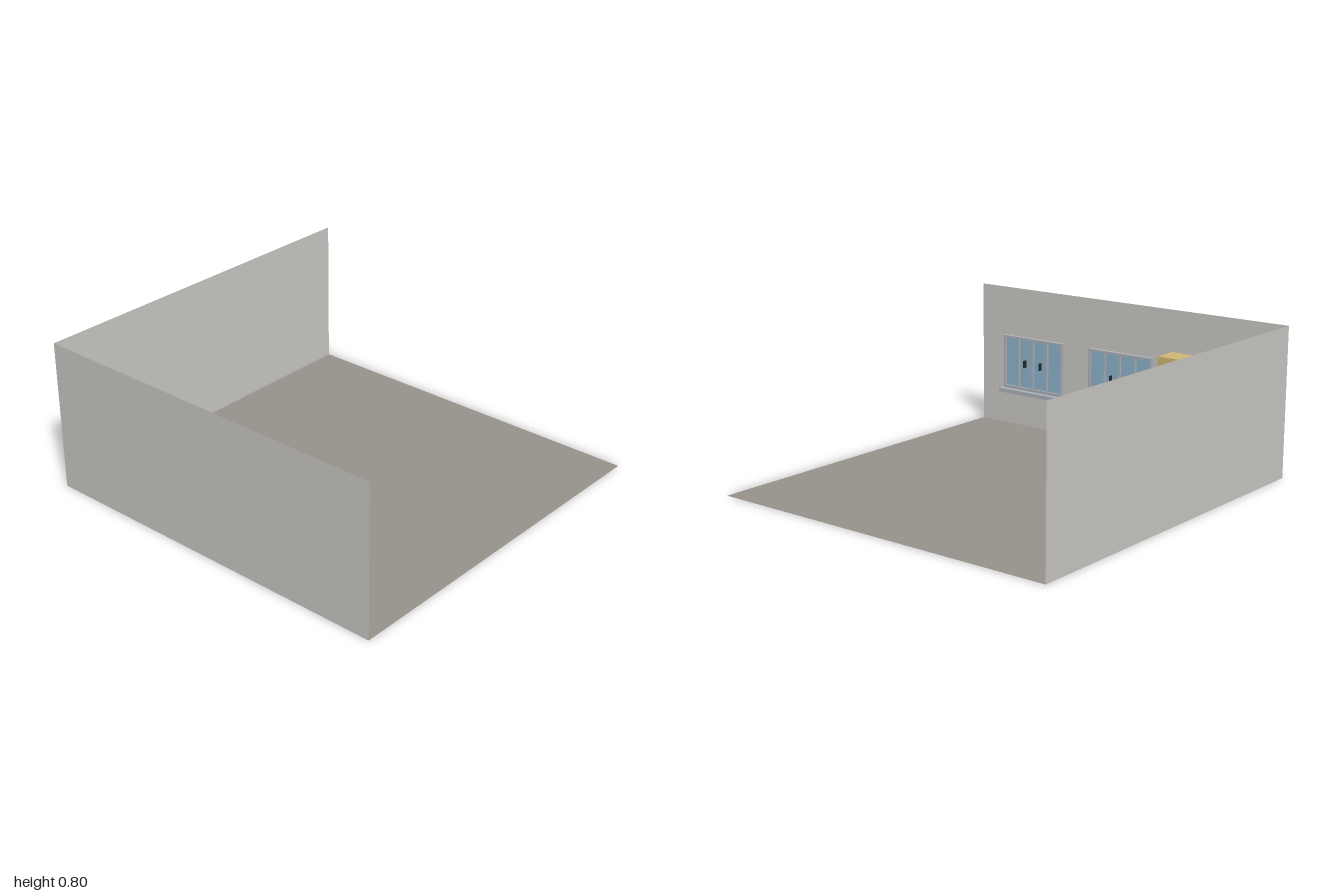
import * as THREE from 'three';

const mat = (color, side = THREE.FrontSide) => new THREE.MeshStandardMaterial({ color, side });
const M = {
  floor: mat(0x99958d, THREE.DoubleSide),
  wall: mat(0xcdccc8, THREE.DoubleSide),
  locker: mat(0xd3b976),
  dark: mat(0x4a4640),
  handle: mat(0x77726a),
  frame: mat(0xb0b4bc),
  glass: mat(0x8fb8d0),
  black: mat(0x26282c),
  teal: mat(0x6a9c9a),
  paper: mat(0xcccccc),
};

// Box given by its min and max on each axis
function box(parent, name, material, [x0, x1], [y0, y1], [z0, z1]) {
  const mesh = new THREE.Mesh(new THREE.BoxGeometry(x1 - x0, y1 - y0, z1 - z0), material);
  mesh.position.set((x0 + x1) / 2, (y0 + y1) / 2, (z0 + z1) / 2);
  mesh.name = name;
  parent.add(mesh);
  return mesh;
}

function group(parent, name) {
  const g = new THREE.Group();
  g.name = name;
  parent.add(g);
  return g;
}

// Floor and two walls
function room(parent) {
  const g = group(parent, 'room');
  const plane = (name, w, h, material) => {
    const m = new THREE.Mesh(new THREE.PlaneGeometry(w, h), material);
    m.name = name;
    g.add(m);
    return m;
  };
  plane('floor', 2, 2, M.floor).rotation.x = -Math.PI / 2;
  plane('backWall', 2, 0.8, M.wall).position.set(0, 0.4, -1);
  const side = plane('sideWall', 2, 0.8, M.wall);
  side.rotation.y = Math.PI / 2;
  side.position.set(-1, 0.4, 0);
}

// Four-pane window on the side wall
function windowUnit(parent, z) {
  const g = group(parent, 'window');
  g.position.z = z;
  const half = 0.207, pitch = 0.101, bar = 0.005;
  box(g, 'sill', M.frame, [-0.999, -0.945], [0.192, 0.214], [-0.219, 0.219]);
  box(g, 'topTrim', M.frame, [-0.999, -0.973], [0.51, 0.523], [-0.211, 0.211]);
  box(g, 'bottomRail', M.frame, [-0.999, -0.975], [0.214, 0.23], [-half, half]);
  box(g, 'glass', M.glass, [-0.999, -0.987], [0.23, 0.51], [-half + 0.005, half - 0.005]);
  for (let i = -2; i <= 2; i++) {
    const c = i * pitch, w = Math.abs(i) === 2 ? 0.006 : bar;
    box(g, 'mullion', M.frame, [-0.999, -0.976], [0.23, 0.51], [c - w, c + w]);
  }
  for (const s of [-1, 1]) {
    box(g, 'windowHandle', M.black, [-0.987, -0.966], [0.348, 0.39], [s * 0.056 - 0.003, s * 0.056 + 0.003]);
  }
}

// Louvred vent on a locker door
function vent(parent, y) {
  const g = group(parent, 'vent');
  for (let i = -1; i <= 1; i++) {
    const c = y + i * 0.009;
    box(g, 'ventSlot', M.dark, [-0.854, -0.8505], [c - 0.0035, c + 0.0005], [-0.024, 0.024]);
    box(g, 'ventHood', M.locker, [-0.854, -0.849], [c + 0.0005, c + 0.003], [-0.024, 0.024]);
  }
}

// One locker, centred on its own z
function locker(parent, z, width) {
  const g = group(parent, 'locker');
  g.position.z = z;
  const h = width / 2;
  box(g, 'body', M.locker, [-0.994, -0.856], [0.062, 0.572], [-h, h]);
  box(g, 'door', M.locker, [-0.856, -0.852], [0.07, 0.564], [-h + 0.003, h - 0.003]);
  for (const s of [-1, 1]) {
    const c = s * (h - 0.01);
    box(g, 'leg', M.locker, [-0.988, -0.865], [0.001, 0.062], [c - 0.005, c + 0.005]);
  }
  vent(g, 0.463);
  vent(g, 0.121);
  box(g, 'handlePlate', M.handle, [-0.853, -0.85], [0.298, 0.328], [-0.041, -0.029]);
  box(g, 'doorHandle', M.dark, [-0.851, -0.847], [0.302, 0.324], [-0.037, -0.033]);
}

// Leaning holder on the end of the locker row
function wallHolder(parent) {
  const g = group(parent, 'wallHolder');
  g.position.set(-0.91, 0.373, -0.288);
  g.rotation.x = -0.16;
  box(g, 'holderBody', M.teal, [-0.03, 0.03], [-0.044, 0.05], [-0.017, 0.014]);
  box(g, 'holderFront', M.paper, [-0.028, 0.028], [-0.044, -0.003], [0.014, 0.0155]);
  box(g, 'holderBase', M.black, [-0.03, 0.03], [-0.049, -0.044], [-0.017, 0.016]);
}

export function createModel() {
  const model = new THREE.Group();
  model.name = 'lockerRoom';
  room(model);
  for (const z of [0.62, 0.018]) windowUnit(model, z);

  // Row of five lockers
  const row = group(model, 'lockerRow');
  const width = 0.128;
  for (let i = 0; i < 5; i++) locker(row, -0.31 - width * (i + 0.5), width);
  box(row, 'sticker', M.paper, [-0.853, -0.8515], [0.365, 0.405], [-0.655, -0.615]);

  wallHolder(model);
  return model;
}
